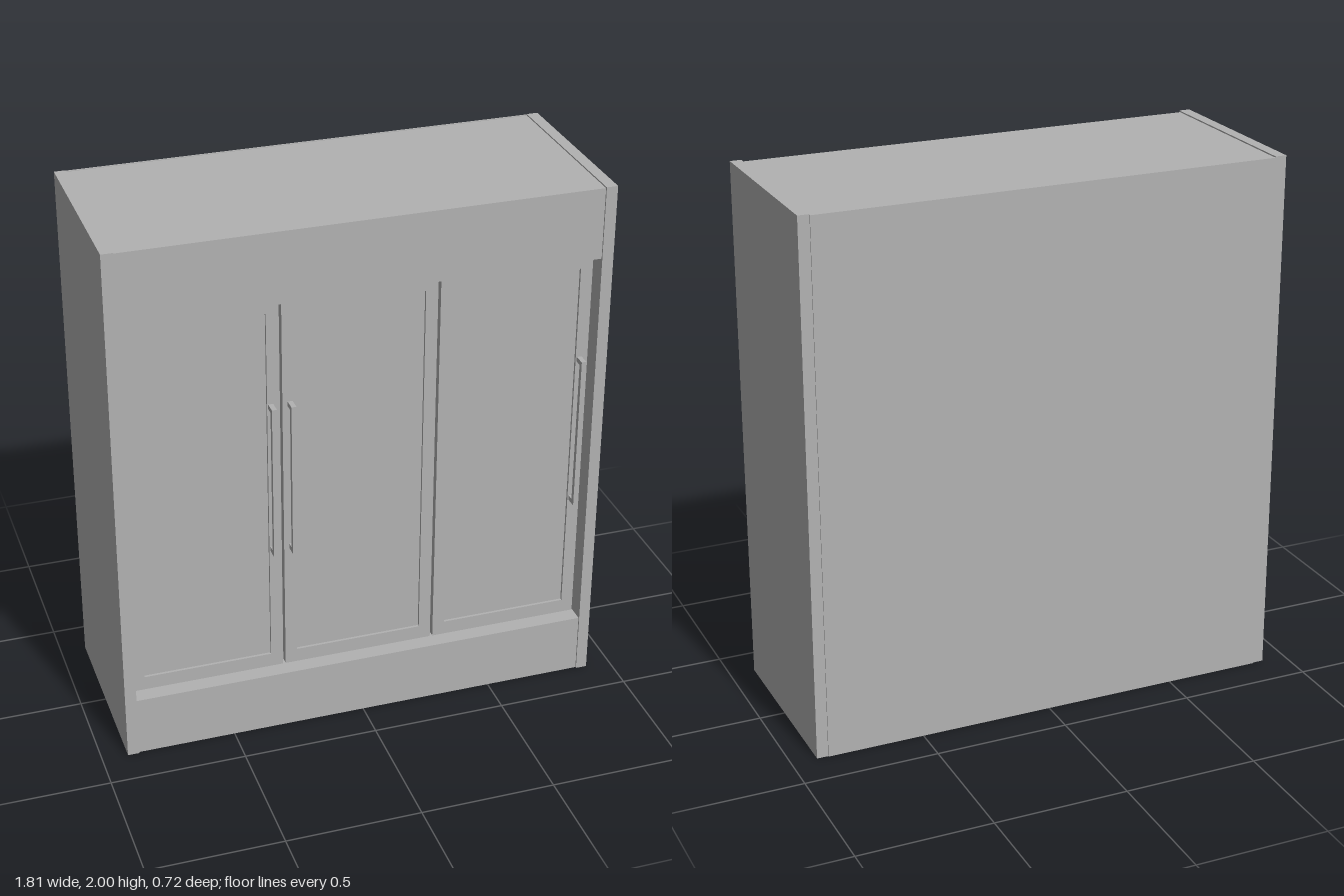
import * as THREE from 'three';

export function createModel() {
  const group = new THREE.Group();
  group.name = 'wardrobe';
  const grey = new THREE.MeshStandardMaterial({ color: 0xb2b2b2 });
  grey.name = 'plain grey';

  // Box given by its limits on each axis
  function box(name, x0, x1, y0, y1, z0, z1, parent = group) {
    const mesh = new THREE.Mesh(new THREE.BoxGeometry(x1 - x0, y1 - y0, z1 - z0), grey);
    mesh.position.set((x0 + x1) / 2, (y0 + y1) / 2, (z0 + z1) / 2);
    mesh.name = name;
    parent.add(mesh);
    return mesh;
  }

  // Carcass
  const inner = 0.863;
  for (const s of [-1, 1]) {
    const a = s * inner, b = s * 0.905;
    box(s > 0 ? 'leftSidePanel' : 'rightSidePanel', Math.min(a, b), Math.max(a, b), 0, 2, -0.358, 0.362);
  }
  box('body', -inner, inner, 0.002, 1.995, -0.355, 0.27);
  box('backPanel', -inner, inner, 0, 1.997, -0.362, -0.355);
  box('topFascia', -inner, inner, 1.73, 1.995, 0.27, 0.356);
  box('plinth', -inner, inner, 0, 0.228, 0.27, 0.356);

  // Door: a frame with a shallow recessed panel
  const y0 = 0.232, y1 = 1.727, zDoor = 0.3, recess = 0.01;
  function door(name, x0, x1, handleX) {
    const g = new THREE.Group();
    g.name = name;
    group.add(g);
    const w = 0.045, h = 0.053;
    const shape = new THREE.Shape([
      new THREE.Vector2(x0, y0), new THREE.Vector2(x1, y0),
      new THREE.Vector2(x1, y1), new THREE.Vector2(x0, y1),
    ]);
    shape.holes.push(new THREE.Path([
      new THREE.Vector2(x0 + w, y0 + h), new THREE.Vector2(x0 + w, y1 - h),
      new THREE.Vector2(x1 - w, y1 - h), new THREE.Vector2(x1 - w, y0 + h),
    ]));
    const frame = new THREE.Mesh(
      new THREE.ExtrudeGeometry(shape, { depth: 0.03, bevelEnabled: false }), grey);
    frame.position.z = zDoor - 0.03;
    frame.name = 'doorFrame';
    g.add(frame);
    box('doorPanel', x0 + w, x1 - w, y0 + h, y1 - h, 0.27, zDoor - recess, g);

    // Bar handle on two posts
    const r = 0.009, b0 = 0.73, b1 = 1.325;
    box('handleBar', handleX - r, handleX + r, b0, b1, zDoor + 0.027, zDoor + 0.045, g);
    for (const y of [b0, b1 - 0.018])
      box('handlePost', handleX - r, handleX + r, y, y + 0.018, zDoor - 0.005, zDoor + 0.027, g);
  }
  door('rightDoor', -0.861, -0.294, -0.326);
  door('middleDoor', -0.284, 0.281, -0.256);
  door('leftDoor', 0.291, 0.858, 0.826);

  return group;
}
